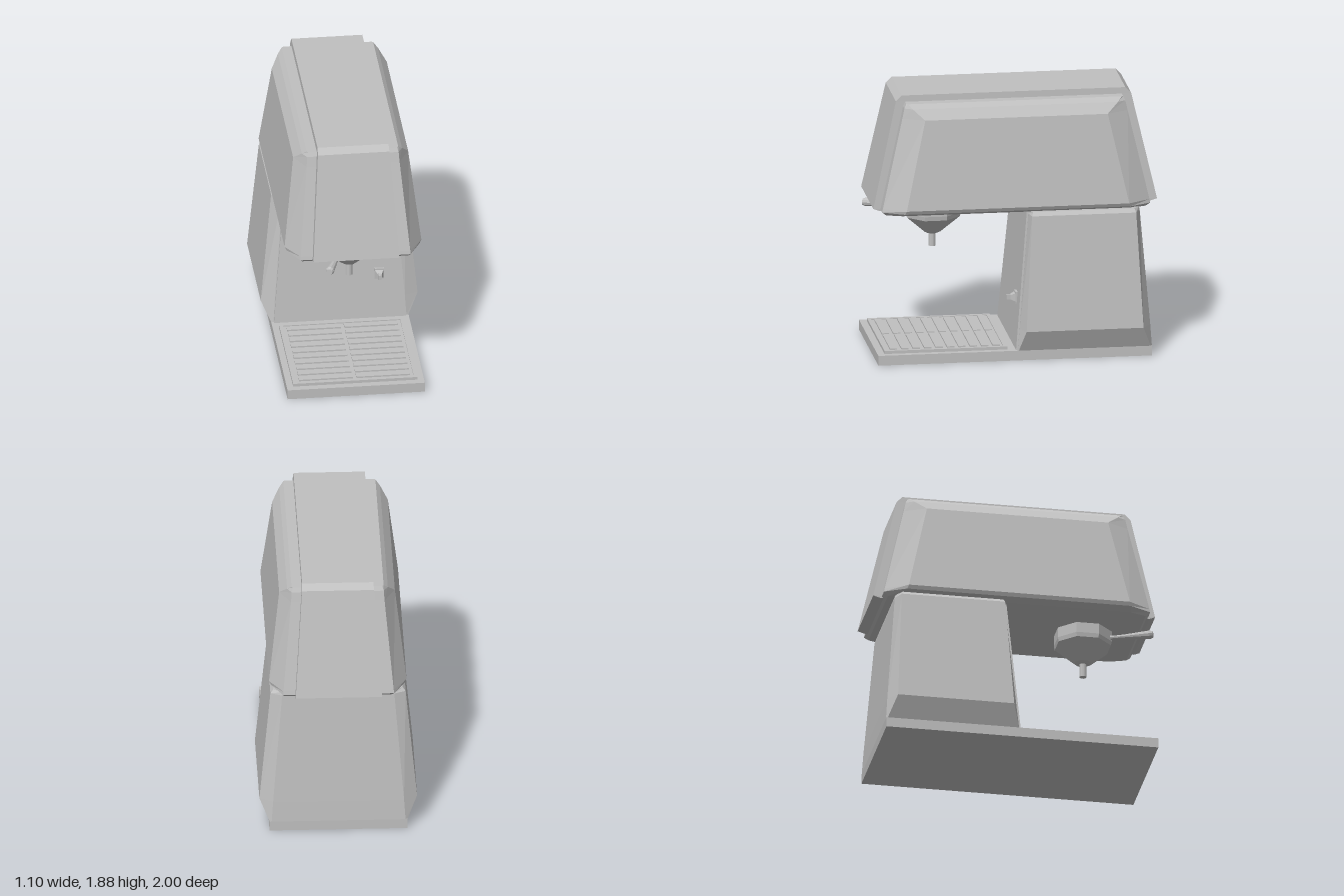
import * as THREE from 'three';

const metal = new THREE.MeshStandardMaterial({ color: 0xc0c0c0, flatShading: true });

// Skin a stack of rings (each counter-clockwise seen from above), capped at both ends.
function loft(rings) {
  const pos = [];
  const tri = (...pts) => pts.forEach((p) => pos.push(...p));
  const n = rings[0].length;
  for (let r = 0; r < rings.length - 1; r++) {
    for (let i = 0; i < n; i++) {
      const j = (i + 1) % n, a = rings[r], b = rings[r + 1];
      tri(a[i], a[j], b[j]);
      tri(a[i], b[j], b[i]);
    }
  }
  const low = rings[0], top = rings[rings.length - 1];
  for (let i = 1; i < n - 1; i++) {
    tri(low[0], low[i + 1], low[i]);
    tri(top[0], top[i], top[i + 1]);
  }
  const g = new THREE.BufferGeometry();
  g.setAttribute('position', new THREE.Float32BufferAttribute(pos, 3));
  g.computeVertexNormals();
  return g;
}

// Rectangle with cut corners: half width x, end-face half width cx,
// front/back ends zf/zb, and where the corner cuts meet the sides, sf/sb.
const octagon = ([y, x, cx, zf, sf, zb, sb]) => [
  [x, y, sf], [x, y, sb], [cx, y, zb], [-cx, y, zb],
  [-x, y, sb], [-x, y, sf], [-cx, y, zf], [cx, y, zf],
];
const rect = ([y, x, zf, zb]) => [[x, y, zf], [x, y, zb], [-x, y, zb], [-x, y, zf]];

export function createModel() {
  const model = new THREE.Group();
  const add = (name, geometry, x = 0, y = 0, z = 0, parent = model) => {
    const mesh = new THREE.Mesh(geometry, metal);
    mesh.name = name;
    mesh.position.set(x, y, z);
    parent.add(mesh);
    return mesh;
  };
  const box = (name, w, h, d, x, y, z, parent) =>
    add(name, new THREE.BoxGeometry(w, h, d), x, y, z, parent);

  // Base plate with drip tray
  box('basePlate', 0.96, 0.07, 1.92, 0, 0.035, 0.02);
  const tray = new THREE.Group();
  tray.name = 'dripTray';
  model.add(tray);
  box('trayFloor', 0.87, 0.015, 0.86, 0, 0.0765, 0.5, tray);
  for (const s of [-1, 1]) {
    box('traySideRim', 0.025, 0.022, 0.86, s * 0.4225, 0.08, 0.5, tray);
    box('trayEndRim', 0.87, 0.022, 0.025, 0, 0.08, 0.5 + s * 0.4175, tray);
    for (let i = 0; i < 10; i++) {
      box('traySlat', 0.375, 0.022, 0.05, s * 0.2, 0.084, 0.14 + i * 0.08, tray);
    }
  }

  // Rear column with flared sides and cut corners
  add('column', loft([
    [0.07, 0.48, 0.465, 0, -0.005, -0.94, -0.93],
    [0.22, 0.548, 0.455, -0.015, -0.05, -0.93, -0.87],
    [1.03, 0.47, 0.39, -0.085, -0.1, -0.865, -0.83],
    [1.055, 0.45, 0.385, -0.087, -0.11, -0.86, -0.82],
  ].map(octagon)));
  add('columnFrontPanel', loft([
    [0.07, 0.462, 0.012, -0.1],
    [1.055, 0.383, -0.075, -0.2],
  ].map(rect)));

  // Head: bevelled shell with a raised band over front, top and back
  add('headShell', loft([
    [1.05, 0.41, 0.37, 0.91, 0.8, -0.91, -0.8],
    [1.075, 0.465, 0.385, 0.94, 0.79, -0.94, -0.79],
    [1.1, 0.478, 0.383, 0.935, 0.78, -0.935, -0.78],
    [1.73, 0.402, 0.325, 0.79, 0.64, -0.79, -0.64],
    [1.8, 0.35, 0.32, 0.775, 0.72, -0.775, -0.72],
    [1.83, 0.32, 0.31, 0.76, 0.75, -0.76, -0.75],
  ].map(octagon)));
  add('headBand', loft([
    [1.065, 0.3, 0.95, -0.95],
    [1.08, 0.3, 0.99, -1.0],
    [1.835, 0.25, 0.825, -0.825],
    [1.875, 0.248, 0.785, -0.785],
  ].map(rect)));

  // Brew group: octagonal bowl, spout and handle
  const bowl = [[0, 0.815], [0.04, 0.815], [0.06, 0.825], [0.2, 0.945], [0.206, 0.975], [0.206, 1.06]]
    .map(([r, y]) => new THREE.Vector2(r, y));
  add('brewGroup', new THREE.LatheGeometry(bowl, 8, Math.PI / 8), 0, 0, 0.535);
  add('spout', new THREE.CylinderGeometry(0.025, 0.025, 0.11, 10), 0, 0.775, 0.535);

  const from = new THREE.Vector3(-0.06, 1.0, 0.66), to = new THREE.Vector3(-0.19, 1.0, 0.995);
  const dir = to.clone().sub(from);
  const length = dir.length();
  const grip = [[0, 0], [0.022, 0], [0.014, 0.1], [0.016, 0.16], [0.03, length - 0.02], [0.022, length], [0, length]]
    .map(([r, y]) => new THREE.Vector2(r, y));
  const handle = add('handle', new THREE.LatheGeometry(grip, 10), from.x, from.y, from.z);
  handle.quaternion.setFromUnitVectors(new THREE.Vector3(0, 1, 0), dir.normalize());

  // Power switch on the column front
  const power = new THREE.Group();
  power.name = 'powerSwitch';
  power.position.set(0.275, 0.405, -0.02);
  model.add(power);
  box('switchPlate', 0.066, 0.082, 0.03, 0, 0, 0, power);
  const taper = new THREE.CylinderGeometry(0.022, 0.042, 0.03, 4);
  taper.rotateY(Math.PI / 4).rotateX(Math.PI / 2);
  add('switchCollar', taper, 0, 0, 0.03, power);
  box('switchLever', 0.02, 0.035, 0.035, 0, 0, 0.058, power);

  return model;
}
